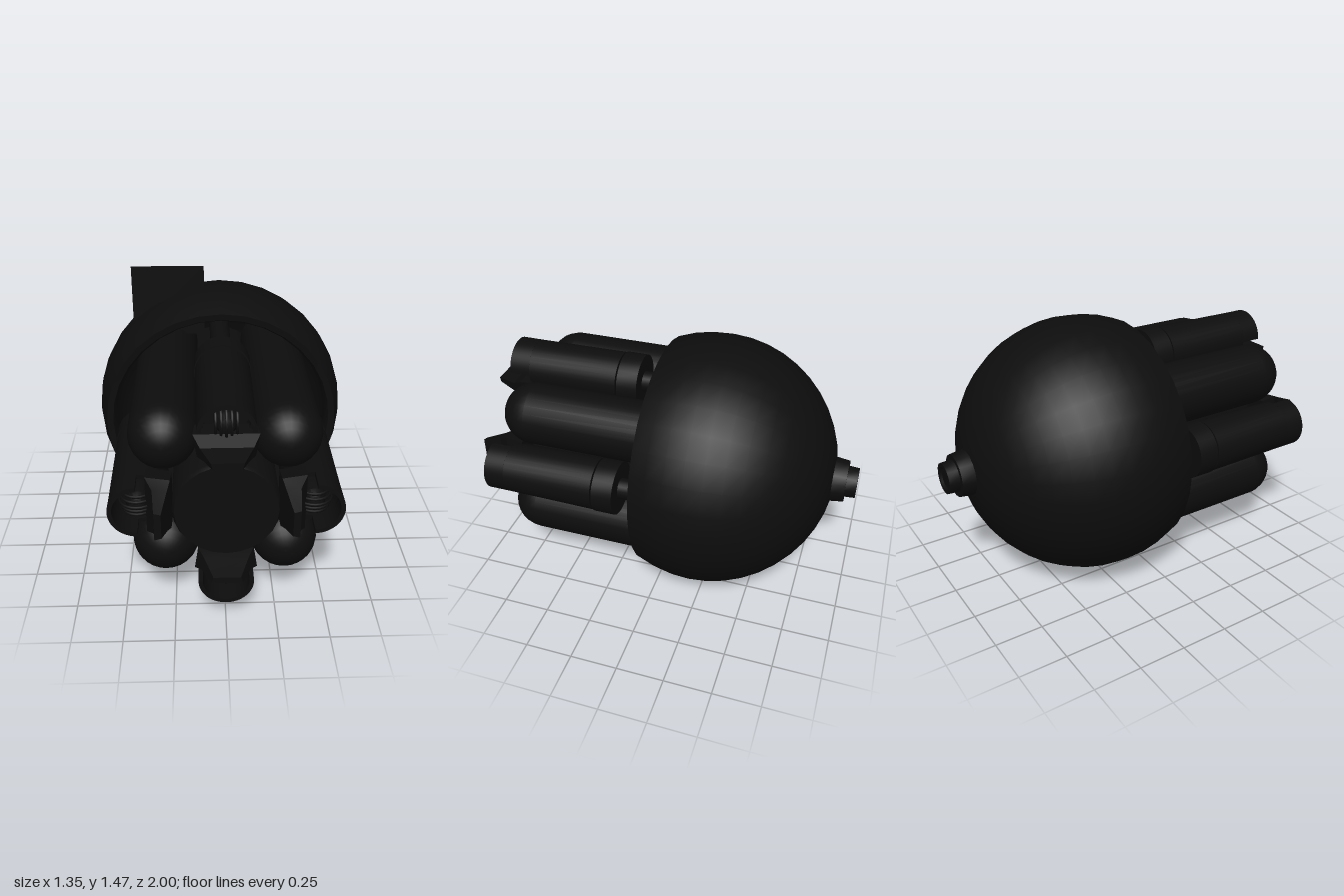
import * as THREE from 'three';
import { toCreasedNormals } from 'three/addons/utils/BufferGeometryUtils.js';

const AXIS_Y = 0.68;

export function createModel() {
  const model = new THREE.Group();
  model.name = 'podCraft';
  const black = new THREE.MeshStandardMaterial({ color: 0x0d0d0d });
  black.name = 'nearBlack';

  const add = (parent, name, geometry, x = 0, y = 0, z = 0) => {
    const mesh = new THREE.Mesh(geometry, black);
    mesh.name = name;
    mesh.position.set(x, y, z);
    parent.add(mesh);
    return mesh;
  };
  // Turned part along z, from [radius, z] points ordered back to front
  const turned = (points, sides = 32) => {
    const g = new THREE.LatheGeometry(points.map(p => new THREE.Vector2(p[0], p[1])), sides);
    g.rotateX(Math.PI / 2);
    return toCreasedNormals(g, 0.55);
  };
  // Points of a circular arc in the [radius, z] plane; angle 0 is +radius
  const arc = (r, z, from, to, steps) => Array.from({ length: steps + 1 }, (_, i) => {
    const a = from + (to - from) * i / steps;
    return [Math.max(0, r * Math.cos(a)), z + r * Math.sin(a)];
  });

  const ship = new THREE.Group();
  ship.name = 'ship';
  ship.position.y = AXIS_Y;
  model.add(ship);

  // Hollow domed hull: outer skin, rim, inner skin
  add(ship, 'hull', turned([
    ...arc(0.677, -0.21, -Math.PI / 2, 0.402, 14),
    [0.59, 0.05], [0.575, 0.02],
    ...arc(0.6, -0.21, 0.3, -Math.PI / 2, 12),
  ], 32));

  // Stepped nozzle at the back
  add(ship, 'rearNozzle', turned([
    [0, -0.99], [0.05, -0.99], [0.06, -1], [0.08, -1], [0.083, -0.945],
    [0.11, -0.945], [0.118, -0.885], [0.118, -0.82],
  ], 16));

  // Central core
  add(ship, 'core', turned([[0, -0.7], [0.25, -0.7], [0.25, 0.87], [0.24, 0.89], [0, 0.89]], 24));

  // Four round-ended tanks on the diagonals
  for (const sx of [-1, 1]) for (const sy of [-1, 1]) {
    add(ship, 'tank', turned([
      [0, -0.4], [0.163, -0.4], ...arc(0.163, 0.677, 0, Math.PI / 2, 8),
    ], 24), sx * 0.288, sy * 0.29);
  }

  // Half-round hood over the mouth of a pod
  const hoodShape = new THREE.Shape();
  hoodShape.absarc(0, 0, 0.133, 0, Math.PI, false);
  hoodShape.absarc(0, 0, 0.112, Math.PI, 0, true);
  const hood = toCreasedNormals(new THREE.ExtrudeGeometry(hoodShape,
    { depth: 0.11, bevelEnabled: false, curveSegments: 16 }), 0.55);

  // Tapering lip: [z, half width, inner radius, outer radius] per section
  const sections = [
    [0.74, 0.14, 0.25, 0.37], [0.83, 0.15, 0.255, 0.37],
    [0.89, 0.118, 0.27, 0.335], [1.0, 0.072, 0.293, 0.325],
  ];
  let lip = new THREE.BoxGeometry(2, 2, 3, 1, 1, 3);
  const pos = lip.attributes.position;
  for (let i = 0; i < pos.count; i++) {
    const [z, w, low, high] = sections[Math.round(pos.getZ(i) + 1.5)];
    const top = pos.getY(i) > 0;
    pos.setXYZ(i, pos.getX(i) * (top ? w : w * 0.88), top ? high : low, z);
  }
  lip = toCreasedNormals(lip, 0.3);

  const podBody = turned([
    [0, 0.29], [0.138, 0.29], [0.133, 0.78], [0.112, 0.78], [0.112, 0.7], [0, 0.7],
  ]);
  const podRing = turned([[0, 0.17], [0.142, 0.17], [0.142, 0.28], [0, 0.28]]);
  const podAxle = turned([
    [0, -0.4], [0.055, -0.4], [0.055, 0.06], [0.075, 0.06], [0.075, 0.1], [0.055, 0.1], [0.055, 0.3],
  ], 16);
  const hub = turned([[0, 0.68], [0.055, 0.68], [0.055, 0.8], [0.035, 0.84], [0, 0.85]], 16);

  // Four pods around the axis; local +y points outward
  for (let i = 0; i < 4; i++) {
    const pod = new THREE.Group();
    pod.name = 'pod';
    pod.rotation.z = i * Math.PI / 2;
    ship.add(pod);
    add(pod, 'podBody', podBody, 0, 0.41);
    add(pod, 'podRing', podRing, 0, 0.41);
    add(pod, 'podAxle', podAxle, 0, 0.41);
    add(pod, 'podHood', hood, 0, 0.41, 0.78);
    add(pod, 'podHub', hub, 0, 0.41);
    add(pod, 'podLip', lip);
    // Upright curved ribs across the mouth
    for (let k = -2; k <= 2; k++) {
      const r = 0.085 - Math.abs(k) * 0.008;
      const rib = new THREE.TorusGeometry(r, 0.007, 6, 12, Math.PI);
      rib.rotateZ(-Math.PI / 2);
      rib.rotateY(-Math.PI / 2);
      add(pod, 'podRib', rib, k * 0.024, 0.41, 0.77);
    }
  }

  // Flat one-sided panel standing in the hull, facing forward
  add(model, 'panel', new THREE.PlaneGeometry(0.386, 0.386), -0.278, 1.282, -0.21);

  return model;
}
